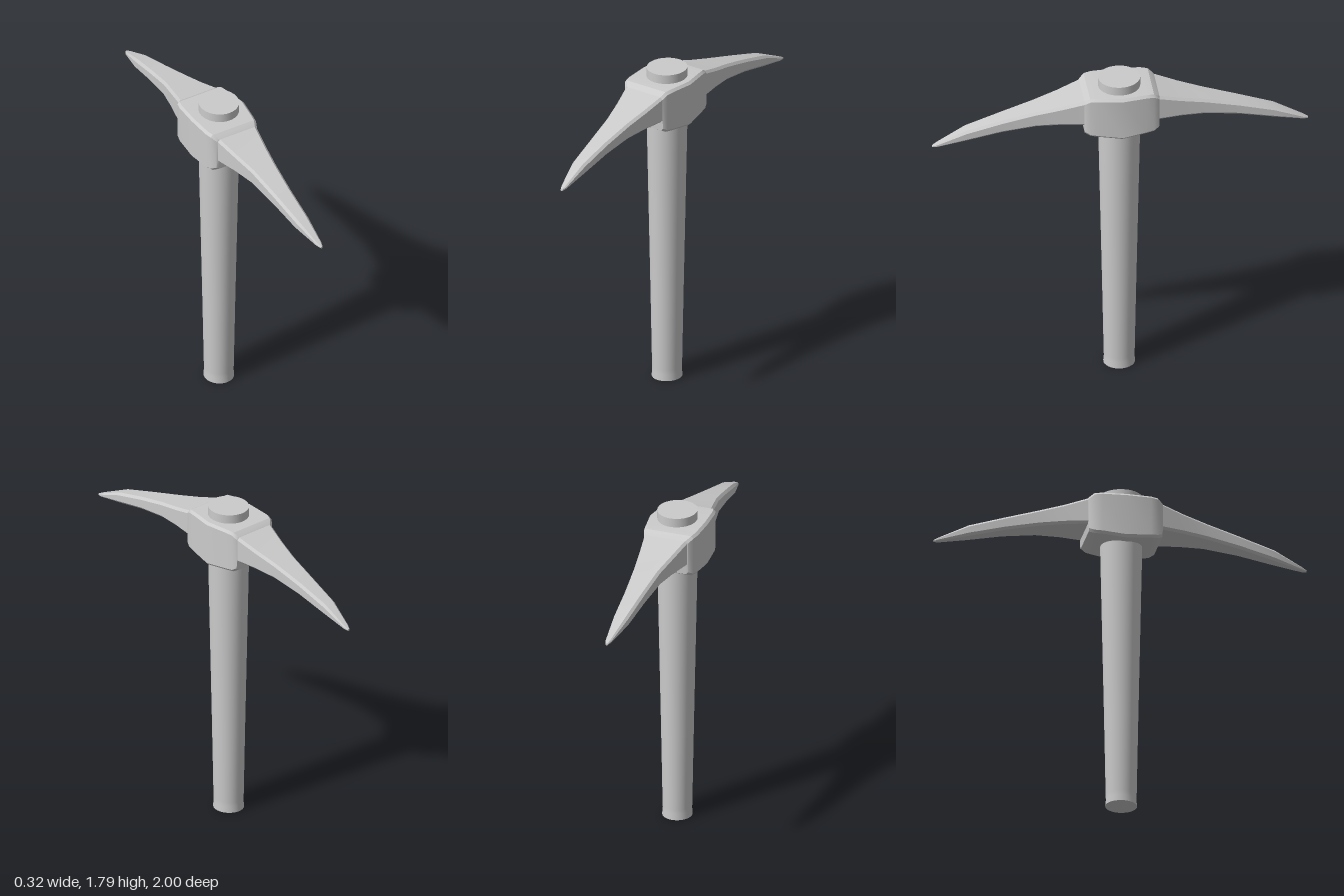
import * as THREE from 'three';
import { toCreasedNormals } from 'three/addons/utils/BufferGeometryUtils.js';

const material = new THREE.MeshStandardMaterial({ color: 0xcccccc, roughness: 0.8 });

// Rectangular section with small bevelled corners, anticlockwise from +z
function section([z, x0, x1, y0, y1]) {
  const b = Math.min(0.013, 0.3 * (x1 - x0), 0.3 * (y1 - y0));
  return [
    [x0 + b, y0], [x1 - b, y0], [x1, y0 + b], [x1, y1 - b],
    [x1 - b, y1], [x0 + b, y1], [x0, y1 - b], [x0, y0 + b],
  ].map(([x, y]) => [x, y, z]);
}

// Skin a row of sections running from +z to -z, closed at both ends
function loft(rows) {
  const n = 8, index = [];
  const positions = rows.flatMap(section).flat();
  for (let i = 0; i < rows.length - 1; i++) {
    for (let j = 0; j < n; j++) {
      const a = i * n + j, b = i * n + (j + 1) % n;
      index.push(a, a + n, b, b, a + n, b + n);
    }
  }
  const last = (rows.length - 1) * n;
  for (let k = 1; k < n - 1; k++) {
    index.push(0, k, k + 1, last, last + k + 1, last + k);
  }
  const geometry = new THREE.BufferGeometry();
  geometry.setAttribute('position', new THREE.Float32BufferAttribute(positions, 3));
  geometry.setIndex(index);
  return toCreasedNormals(geometry, 0.5);
}

export function createModel() {
  const group = new THREE.Group();

  // Tapered handle with a flared foot; doubled points keep the rims sharp
  const profile = [
    [0, 0], [0.08, 0], [0.08, 0.005], [0.077, 0.035], [0.078, 0.06],
    [0.086, 0.5], [0.096, 1.0], [0.106, 1.5], [0.106, 1.795], [0, 1.795],
  ].map(([r, y]) => new THREE.Vector2(r, y));
  const handle = new THREE.Mesh(
    toCreasedNormals(new THREE.LatheGeometry(profile, 40), 0.5), material);
  handle.name = 'handle';
  handle.scale.z = 1.05;
  handle.position.x = 0.004;
  group.add(handle);

  // Half of the head from tip to eye: z, left x, right x, bottom y, top y
  const half = [
    [1.0, 0.03, 0.042, 1.464, 1.474],
    [0.975, 0.018, 0.05, 1.466, 1.486],
    [0.82, -0.02, 0.06, 1.495, 1.556],
    [0.63, -0.041, 0.068, 1.537, 1.609],
    [0.45, -0.063, 0.083, 1.567, 1.656],
    [0.32, -0.092, 0.1, 1.575, 1.687],
    [0.2, -0.122, 0.117, 1.575, 1.721],
    [0.197, -0.128, 0.12, 1.527, 1.724],
    [0.17, -0.148, 0.13, 1.511, 1.742],
    [0.13, -0.158, 0.137, 1.506, 1.745],
  ];
  const back = half.map(([z, ...rest]) => [-z, ...rest]).reverse();
  const head = new THREE.Mesh(
    loft([...half, [0, -0.163, 0.157, 1.493, 1.746], ...back]), material);
  head.name = 'pickHead';
  group.add(head);

  return group;
}
